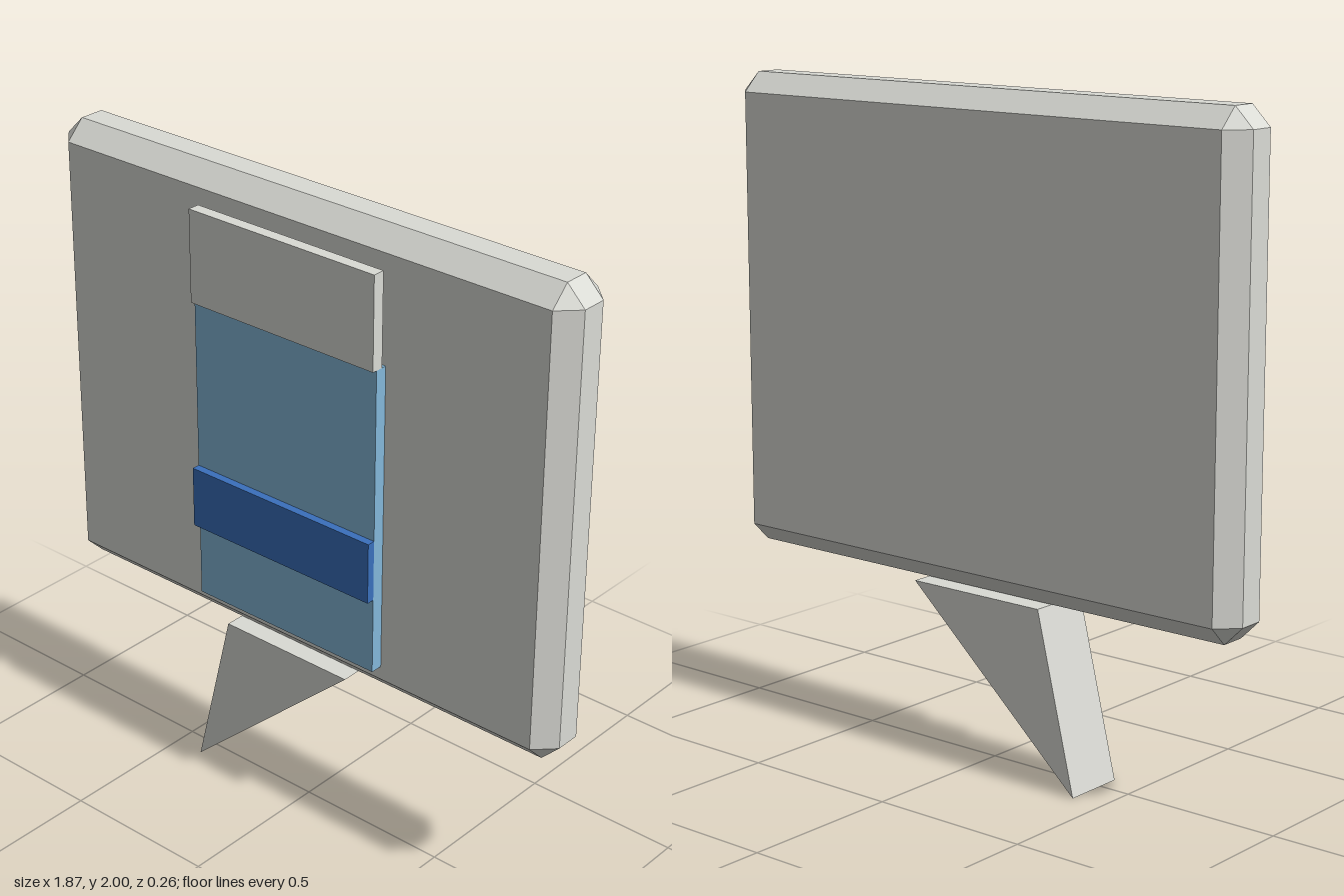
import * as THREE from 'three';
import { ConvexGeometry } from 'three/addons/geometries/ConvexGeometry.js';

// Box with every edge cut at 45 degrees and a triangle at each corner
function chamferedBox(w, h, d, c) {
  const points = [];
  for (const sx of [-1, 1]) for (const sy of [-1, 1]) for (const sz of [-1, 1]) {
    const x = w / 2, y = h / 2, z = d / 2;
    points.push(
      new THREE.Vector3(sx * x, sy * (y - c), sz * (z - c)),
      new THREE.Vector3(sx * (x - c), sy * y, sz * (z - c)),
      new THREE.Vector3(sx * (x - c), sy * (y - c), sz * z),
    );
  }
  return new ConvexGeometry(points);
}

export function createModel() {
  const group = new THREE.Group();
  const material = (name, color) => {
    const m = new THREE.MeshStandardMaterial({ color });
    m.name = name;
    return m;
  };
  const paleGrey = material('paleGrey', 0xdadbd5);
  const lightBlue = material('lightBlue', 0x84b8da);
  const darkBlue = material('darkBlue', 0x3a70bc);

  const add = (name, geometry, mat) => {
    const mesh = new THREE.Mesh(geometry, mat);
    mesh.name = name;
    group.add(mesh);
    return mesh;
  };

  // Speech bubble panel
  add('bubblePanel', chamferedBox(1.865, 1.46, 0.197, 0.059), paleGrey).position.set(0, 1.27, -0.032);

  // Slanted pointer below the panel
  const pointer = new THREE.Shape([
    new THREE.Vector2(-0.4, 0),
    new THREE.Vector2(0.2, 0.538),
    new THREE.Vector2(-0.268, 0.538),
  ]);
  add('bubblePointer', new THREE.ExtrudeGeometry(pointer, { depth: 0.197, bevelEnabled: false }), paleGrey)
    .position.z = -0.13;

  // Stacked blocks on the front: name, bottom, top, back, front, material
  const blocks = [
    ['upperBlock', 1.61, 1.897, 0.082, 0.12, paleGrey],
    ['bodyBlock', 0.642, 1.61, 0.066, 0.105, lightBlue],
    ['bandBlock', 0.885, 1.078, 0.104, 0.13, darkBlue],
  ];
  for (const [name, y0, y1, z0, z1, mat] of blocks) {
    add(name, new THREE.BoxGeometry(0.675, y1 - y0, z1 - z0), mat)
      .position.set(-0.003, (y0 + y1) / 2, (z0 + z1) / 2);
  }
  return group;
}
